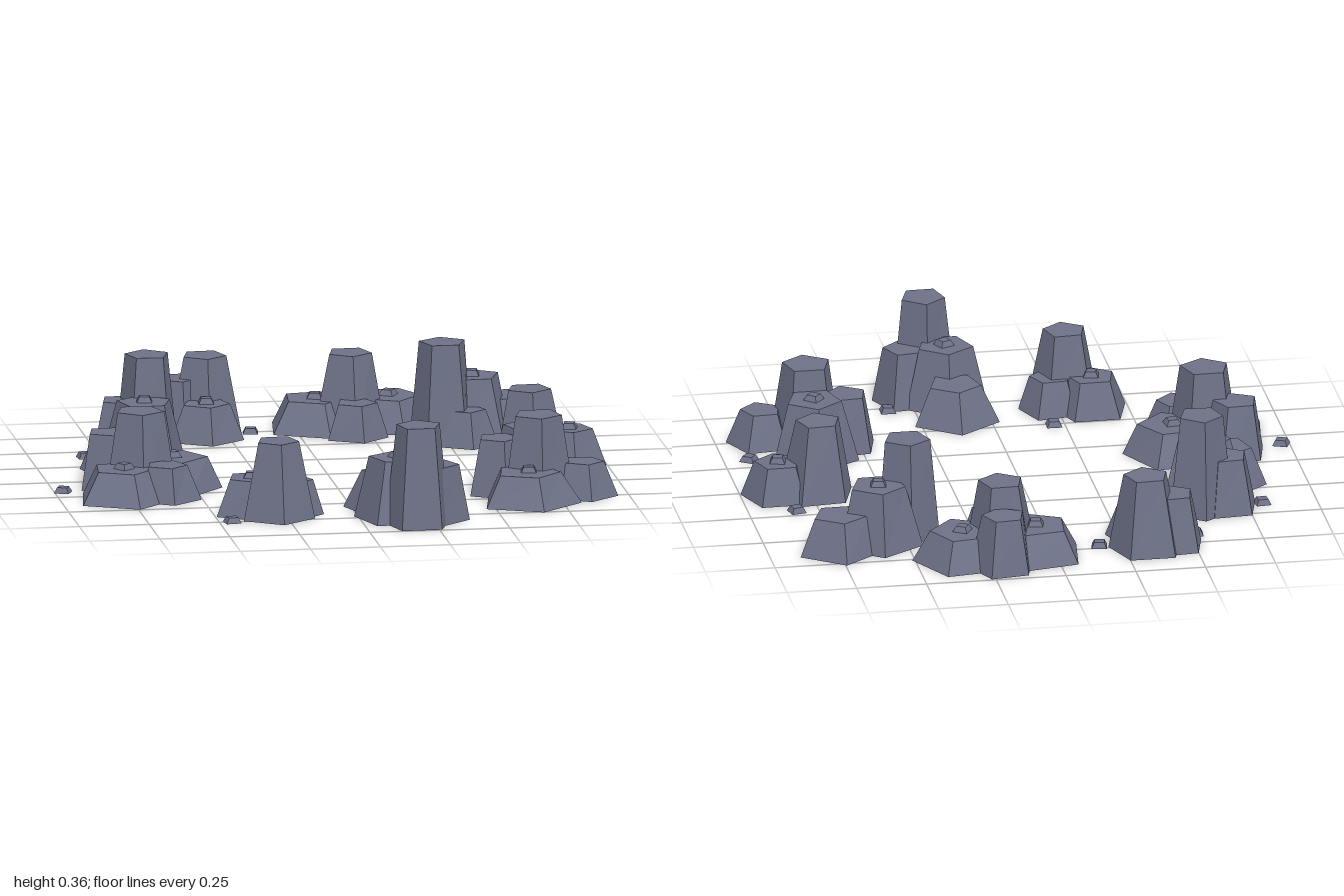
import * as THREE from 'three';

const rockGrey = new THREE.MeshStandardMaterial({ name: 'rock grey', color: 0x6e7288, flatShading: true });
const earthBrown = new THREE.MeshStandardMaterial({ name: 'earth brown', color: 0xb48464, flatShading: true });

// stock rocks: base radius, height, top to base ratio, angle of one corner in degrees
const kinds = {
  spire: { radius: 0.12, height: 0.36, taper: 0.69, turn: 270 },
  peak: { radius: 0.13, height: 0.295, taper: 0.68, turn: 90 },
  stump: { radius: 0.137, height: 0.277, taper: 0.59, turn: 88 },
  ledge: { radius: 0.155, height: 0.22, taper: 0.65, turn: 270, pebble: true },
  spur: { radius: 0.118, height: 0.2, taper: 0.66, turn: 300 },
  slab: { radius: 0.182, height: 0.112, taper: 0.65, turn: 224, pebble: true },
  knoll: { radius: 0.138, height: 0.13, taper: 0.64, turn: 16, pebble: true },
  mound: { radius: 0.155, height: 0.135, taper: 0.62, turn: 270 },
  foot: { radius: 0.118, height: 0.125, taper: 0.62, turn: 84 },
};

// x, z pairs for each kind of rock and for loose pebbles
const clusters = {
  backCluster: { slab: [0.07, -0.77, 0.335, -0.785], spur: [0.205, -0.89], stump: [0.19, -0.75], foot: [0.195, -0.61] },
  backLeftCluster: { mound: [0.745, -0.615], ledge: [0.6, -0.57], spire: [0.485, -0.49], foot: [0.56, -0.44], pebble: [0.67, -0.37] },
  leftCluster: { stump: [0.725, -0.05], knoll: [0.87, -0.045], foot: [0.7, 0.015], pebble: [0.83, -0.21, 0.81, 0.15] },
  frontLeftCluster: { ledge: [0.68, 0.31], spur: [0.55, 0.4], peak: [0.68, 0.475], foot: [0.84, 0.49], slab: [0.63, 0.585], pebble: [0.91, 0.32] },
  frontCluster: { mound: [0.125, 0.6], ledge: [0.135, 0.77], spire: [0.19, 0.895], spur: [0.265, 0.815], pebble: [0.345, 0.72] },
  frontRightCluster: { knoll: [-0.365, 0.615], stump: [-0.285, 0.7], foot: [-0.225, 0.645], pebble: [-0.21, 0.485, -0.455, 0.76] },
  rightCluster: { spur: [-0.795, 0.1], peak: [-0.705, 0.205], slab: [-0.575, 0.14, -0.775, 0.32], foot: [-0.625, 0.335], pebble: [-0.97, 0.165] },
  innerRightCluster: { spire: [-0.58, -0.435], spur: [-0.67, -0.43], ledge: [-0.61, -0.295], mound: [-0.71, -0.175], pebble: [-0.805, -0.405] },
  backRightCluster: { stump: [-0.325, -0.78], spur: [-0.42, -0.77], knoll: [-0.335, -0.655], pebble: [-0.165, -0.73, -0.52, -0.67] },
};

// repeatable value between -1 and 1
function jitter(seed) {
  const s = Math.sin(seed * 127.1 + 3.7) * 43758.5453;
  return (s - Math.floor(s)) * 2 - 1;
}

// five-sided tapered rock with slightly uneven corners and an earthy underside
function makeRock({ radius, height, taper, turn }, seed) {
  const sides = 5;
  const start = Math.PI / 2 - THREE.MathUtils.degToRad(turn);
  const geo = new THREE.CylinderGeometry(radius * taper, radius, height, sides, 1, false, start);
  geo.translate(0, height / 2, 0);
  const p = geo.attributes.position;
  for (let i = 0; i < p.count; i++) {
    const x = p.getX(i), y = p.getY(i), z = p.getZ(i);
    if (Math.hypot(x, z) < 1e-5) continue;
    const step = Math.round((Math.atan2(x, z) - start) / (2 * Math.PI) * sides);
    const corner = ((step % sides) + sides) % sides;
    const grow = 1 + 0.05 * jitter(seed * 20 + corner * 2 + (y > height / 2 ? 1 : 0));
    p.setXYZ(i, x * grow, y, z * grow);
  }
  geo.computeVertexNormals();
  return new THREE.Mesh(geo, [rockGrey, rockGrey, earthBrown]);
}

// small four-sided stone
function makePebble(seed) {
  const geo = new THREE.CylinderGeometry(0.025, 0.038, 0.02, 4, 1, false, jitter(seed));
  geo.translate(0, 0.01, 0);
  return new THREE.Mesh(geo, rockGrey);
}

export function createModel() {
  const model = new THREE.Group();
  model.name = 'rockRing';
  let seed = 1;
  for (const [clusterName, parts] of Object.entries(clusters)) {
    const group = new THREE.Group();
    group.name = clusterName;
    const place = (mesh, name, x, y, z) => {
      mesh.name = name;
      mesh.position.set(x, y, z);
      group.add(mesh);
    };
    for (const [part, spots] of Object.entries(parts)) {
      for (let i = 0; i < spots.length; i += 2) {
        const x = spots[i], z = spots[i + 1];
        seed++;
        if (part === 'pebble') {
          place(makePebble(seed), 'loosePebble', x, 0, z);
          continue;
        }
        const kind = kinds[part];
        place(makeRock(kind, seed), part + 'Rock', x, 0, z);
        // wide rocks carry a pebble on top
        if (kind.pebble) place(makePebble(seed), 'topPebble', x, kind.height, z);
      }
    }
    model.add(group);
  }
  return model;
}
